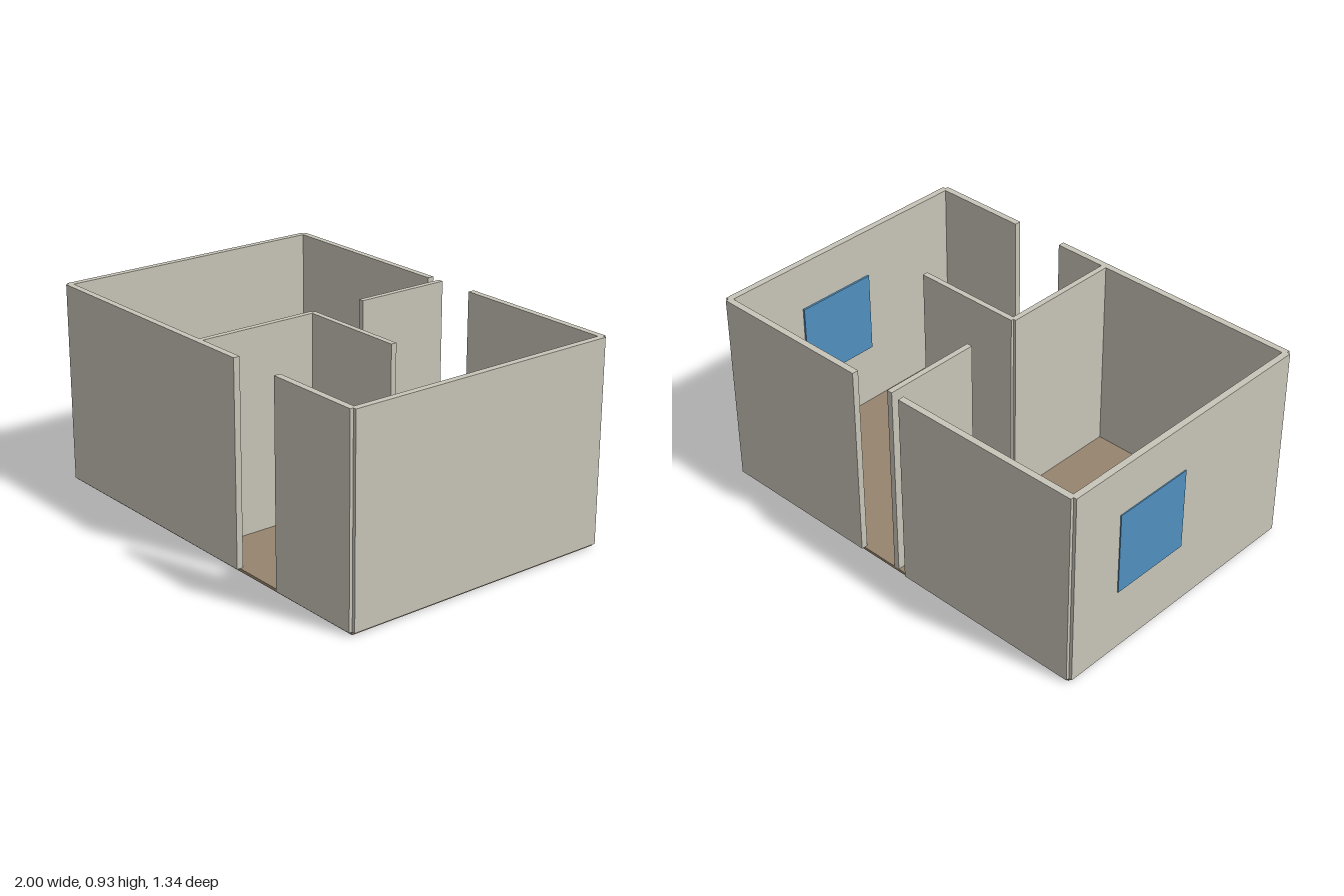
import * as THREE from 'three';

const FLOOR_TOP = 0.013, WALL_TOP = 0.93;
const OUTER = 0.03, INNER = 0.026; // wall thicknesses

export function createModel() {
  const model = new THREE.Group();
  model.name = 'roomShell';

  const material = (name, color) => {
    const m = new THREE.MeshStandardMaterial({ color });
    m.name = name;
    return m;
  };
  const wallPaint = material('wallPaint', 0xc8c4b8);
  const floorWood = material('floorWood', 0x96856e);
  const windowGlass = material('windowGlass', 0x5090bf);

  // Box given by its extents on each axis
  const block = (name, mat, [x0, x1], [y0, y1], [z0, z1]) => {
    const mesh = new THREE.Mesh(new THREE.BoxGeometry(x1 - x0, y1 - y0, z1 - z0), mat);
    mesh.position.set((x0 + x1) / 2, (y0 + y1) / 2, (z0 + z1) / 2);
    mesh.name = name;
    model.add(mesh);
  };
  const height = [FLOOR_TOP, WALL_TOP];
  const around = (c, t) => [c - t / 2, c + t / 2];
  // Walls running along x or along z, about a centre line
  const wallX = (name, x0, x1, z, t) => block(name, wallPaint, [x0, x1], height, around(z, t));
  const wallZ = (name, z0, z1, x, t) => block(name, wallPaint, around(x, t), height, [z0, z1]);

  // Floor slab, ending at the wall centre lines
  const L = -0.98, R = 0.985, Z = 0.654;
  block('floor', floorWood, [L, R], [0, FLOOR_TOP], [-Z, Z]);

  // Outer walls, with a door gap in front and back
  wallX('frontWallRight', L, 0.263, Z, OUTER);
  wallX('frontWallLeft', 0.525, R, Z, OUTER);
  wallX('backWallRight', L, -0.065, -Z, OUTER);
  wallX('backWallLeft', 0.198, R, -Z, OUTER);
  wallZ('rightWall', -Z, Z, L, OUTER);
  wallZ('leftWall', -Z, Z, R, OUTER);

  // Partitions
  wallZ('backPartition', -Z, -0.198, 0, INNER);
  wallZ('frontPartition', 0.065, Z, 0, INNER);
  wallX('crossPartition', 0, 0.524, 0.065, INNER);

  // Window panes: one outside, two inside
  const pane = [0.31, 0.7];
  block('rightWindow', windowGlass, [-1, -0.994], pane, [-0.393, 0]);
  block('leftWindow', windowGlass, [0.961, 0.9705], pane, [-0.262, 0.131]);
  block('backWindow', windowGlass, [0.524, 0.917], pane, [-0.6395, -0.634]);

  return model;
}
